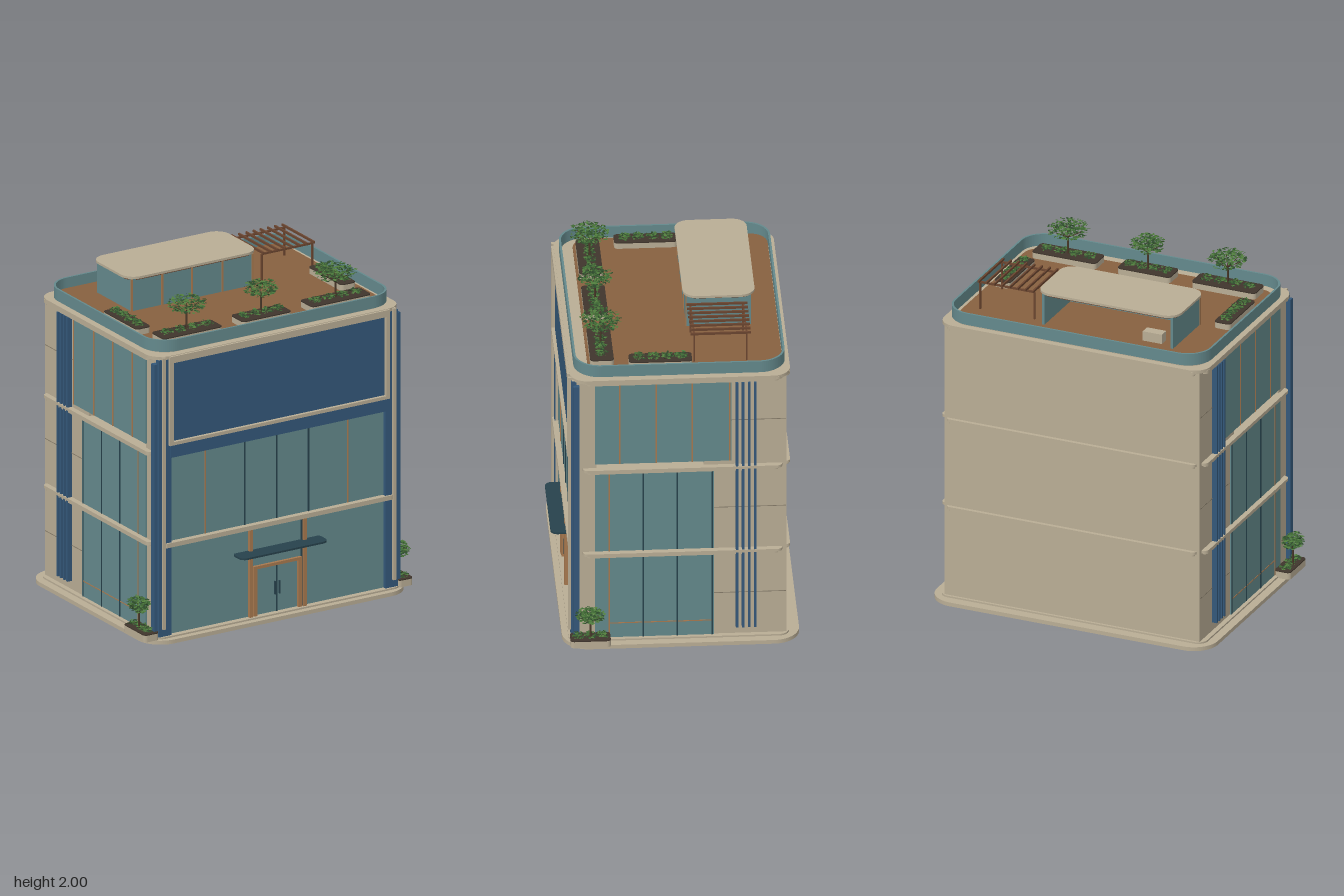
import * as THREE from 'three';
import { mergeGeometries } from 'three/addons/utils/BufferGeometryUtils.js';

const mat = (color, side = THREE.FrontSide) => new THREE.MeshStandardMaterial({ color, side });
const stone = mat(0xb9ad95), seam = mat(0x857b69), glass = mat(0x64898c), blue = mat(0x34587a);
const steel = mat(0x27424c), wood = mat(0xa8794f), deckMat = mat(0x87603f), slat = mat(0x6b452f);
const soil = mat(0x3f352c), bark = mat(0x4b3a2a);
const greens = [0x2c4a2a, 0x3d6632, 0x4f7c3c].map(c => mat(c, THREE.DoubleSide));

let seed = 7;
const rnd = () => (seed = (seed * 16807) % 2147483647) / 2147483647;

export function createModel() {
  const model = new THREE.Group();
  const group = (name) => {
    const g = new THREE.Group();
    g.name = name;
    model.add(g);
    return g;
  };
  const add = (parent, name, geo, m) => {
    const mesh = new THREE.Mesh(geo, m);
    mesh.name = name;
    parent.add(mesh);
    return mesh;
  };
  // Box given by its limits on each axis
  const box = (parent, name, m, x0, x1, y0, y1, z0, z1) =>
    add(parent, name, new THREE.BoxGeometry(Math.abs(x1 - x0), y1 - y0, z1 - z0), m)
      .position.set((x0 + x1) / 2, (y0 + y1) / 2, (z0 + z1) / 2);
  const outline = (path, x0, x1, z0, z1, r) => {
    const a = -z1, b = -z0;
    path.moveTo(x0 + r, a).lineTo(x1 - r, a).absarc(x1 - r, a + r, r, -Math.PI / 2, 0)
      .lineTo(x1, b - r).absarc(x1 - r, b - r, r, 0, Math.PI / 2)
      .lineTo(x0 + r, b).absarc(x0 + r, b - r, r, Math.PI / 2, Math.PI)
      .lineTo(x0, a + r).absarc(x0 + r, a + r, r, Math.PI, Math.PI * 1.5);
    return path;
  };
  // Flat slab with rounded corners in plan; wall > 0 leaves a hollow ring
  const slab = (parent, name, m, x0, x1, y0, y1, z0, z1, r, wall = 0) => {
    const s = outline(new THREE.Shape(), x0, x1, z0, z1, r);
    if (wall) s.holes.push(outline(new THREE.Path(), x0 + wall, x1 - wall, z0 + wall, z1 - wall, r - wall));
    const geo = new THREE.ExtrudeGeometry(s, { depth: y1 - y0, bevelEnabled: false, curveSegments: 10 });
    geo.rotateX(-Math.PI / 2).translate(0, y0, 0);
    return add(parent, name, geo, m);
  };

  // Plinth, back wall and floors
  const shell = group('buildingShell');
  slab(shell, 'plinth', stone, -0.88, 0.88, 0, 0.024, -0.7, 0.655, 0.15);
  slab(shell, 'plinthStep', stone, -0.83, 0.83, 0.024, 0.034, -0.64, 0.62, 0.06);
  box(shell, 'backWall', stone, -0.8, 0.8, 0.03, 1.72, -0.625, -0.6);
  for (const y of [0.57, 1.115]) box(shell, 'floorSlab', stone, -0.79, 0.79, y, y + 0.025, -0.6, 0.57);

  // Side elevations, mirrored
  for (const s of [1, -1]) {
    const side = group(s > 0 ? 'leftElevation' : 'rightElevation');
    box(side, 'rearWall', stone, s * 0.77, s * 0.8, 0.03, 1.72, -0.61, -0.15);
    box(side, 'cornerWall', stone, s * 0.72, s * 0.8, 0.03, 1.72, 0.46, 0.6);
    const floors = [
      [0.035, 0.57, -0.21, [0.39, 0.195, 0, -0.2]],
      [0.6, 1.11, -0.21, [0.39, 0.195, 0, -0.2]],
      [1.17, 1.695, -0.31, [0.33, 0.12, -0.085, -0.3]],
    ];
    floors.forEach(([y0, y1, z, mullions], i) => {
      box(side, 'sideGlass', glass, s * 0.79, s * 0.808, y0, y1, z, 0.47);
      mullions.forEach((m, k) => box(side, 'sideMullion', (i === 2 || k === 0) ? wood : steel,
        s * 0.805, s * 0.811, y0, y1, m - 0.004, m + 0.004));
      box(side, 'wallSeam', seam, s * 0.798, s * 0.802, [0.3, 0.86, 1.43][i], [0.304, 0.864, 1.434][i], -0.62, -0.2);
    });
    box(side, 'glassRail', wood, s * 0.805, s * 0.81, 0.125, 0.131, -0.2, 0.39);
    // Vertical blue fins
    for (let k = 0; k < 4; k++) {
      const z = -0.34 - k * 0.035;
      box(side, 'verticalFin', blue, s * 0.795, s * 0.83, 0.085, 1.69, z - 0.007, z + 0.007);
    }
    // Stepped floor ledges
    for (const y of [0.565, 1.113, 1.693]) {
      const lo = Math.min(s * 0.77, s * 0.826), hi = Math.max(s * 0.77, s * 0.826);
      slab(side, 'lowerLedge', stone, lo, hi, y, y + 0.014, -0.58, 0.52, 0.025);
      slab(side, 'upperLedge', stone, lo - 0.008, hi + 0.008, y + 0.014, y + 0.03, -0.6, 0.54, 0.03);
    }
    // Front corner pier with stone strip
    box(side, 'cornerPier', blue, s * 0.72, s * 0.805, 0.034, 1.715, 0.575, 0.607);
    box(side, 'cornerBlade', blue, s * 0.8, s * 0.828, 0.05, 1.69, 0.56, 0.595);
    box(side, 'pierStrip', stone, s * 0.765, s * 0.785, 0.08, 1.73, 0.6, 0.622);
  }

  // Ledges across the back
  for (const y of [0.565, 1.113, 1.693]) {
    slab(shell, 'backLedgeLower', stone, -0.77, 0.77, y, y + 0.014, -0.64, -0.6, 0.018);
    slab(shell, 'backLedgeUpper', stone, -0.78, 0.78, y + 0.014, y + 0.03, -0.647, -0.6, 0.02);
  }

  // Front elevation: glazed floors, blue panel and its frame
  const front = group('frontElevation');
  box(front, 'groundGlass', glass, -0.725, 0.725, 0.034, 0.57, 0.56, 0.585);
  box(front, 'middleGlass', glass, -0.725, 0.725, 0.598, 1.112, 0.56, 0.585);
  [-0.48, -0.215, 0, 0.215, 0.48].forEach((x, i) =>
    box(front, 'frontMullion', i % 4 ? steel : wood, x - 0.004, x + 0.004, 0.598, 1.112, 0.58, 0.59));
  slab(front, 'frontLedge', stone, -0.765, 0.765, 0.57, 0.597, 0.56, 0.618, 0.012);
  box(front, 'blueBand', blue, -0.725, 0.725, 1.112, 1.2, 0.56, 0.612);
  box(front, 'bluePanel', blue, -0.725, 0.725, 1.2, 1.715, 0.57, 0.605);
  box(front, 'frameBottom', stone, -0.74, 0.74, 1.19, 1.21, 0.59, 0.625);
  box(front, 'frameTop', stone, -0.74, 0.74, 1.69, 1.73, 0.59, 0.625);
  for (const s of [1, -1]) box(front, 'frameSide', stone, s * 0.715, s * 0.74, 1.21, 1.69, 0.59, 0.625);

  // Entrance with portal, doors and canopy
  const entrance = group('entrance');
  for (const s of [1, -1]) {
    box(entrance, 'outerPost', wood, s * 0.17, s * 0.192, 0.034, 0.57, 0.58, 0.607);
    box(entrance, 'postShadow', steel, s * 0.162, s * 0.17, 0.034, 0.57, 0.58, 0.595);
    box(entrance, 'doorPost', wood, s * 0.138, s * 0.162, 0.034, 0.335, 0.58, 0.603);
    box(entrance, 'doorHandle', steel, s * 0.012, s * 0.018, 0.14, 0.22, 0.59, 0.6);
  }
  box(entrance, 'lintel', wood, -0.162, 0.162, 0.318, 0.336, 0.58, 0.603);
  box(entrance, 'doorGap', steel, -0.003, 0.003, 0.034, 0.318, 0.58, 0.592);
  slab(entrance, 'canopy', steel, -0.295, 0.29, 0.425, 0.436, 0.57, 0.69, 0.04);

  // Roof: cornice, glass parapet and timber deck
  const roof = group('roof');
  slab(roof, 'cornice', stone, -0.835, 0.835, 1.713, 1.733, -0.648, 0.612, 0.1);
  slab(roof, 'parapetBase', stone, -0.79, 0.79, 1.733, 1.744, -0.61, 0.565, 0.13);
  slab(roof, 'deck', deckMat, -0.775, 0.77, 1.744, 1.752, -0.608, 0.505, 0.1);
  slab(roof, 'parapet', glass, -0.808, 0.808, 1.743, 1.814, -0.622, 0.585, 0.15, 0.012);

  // Rooftop pavilion, open to the rear
  const pavilion = group('pavilion');
  box(pavilion, 'pavilionFront', glass, -0.555, 0.265, 1.752, 1.945, -0.1, -0.085);
  for (const x of [-0.555, 0.25]) box(pavilion, 'pavilionSide', glass, x, x + 0.015, 1.752, 1.945, -0.455, -0.1);
  for (const x of [-0.555, -0.35, -0.15, 0.055, 0.258])
    box(pavilion, 'pavilionMullion', wood, x - 0.005, x + 0.007, 1.752, 1.945, -0.09, -0.08);
  box(pavilion, 'counter', stone, -0.47, -0.35, 1.752, 1.81, -0.42, -0.36);
  slab(pavilion, 'pavilionCeiling', slat, -0.57, 0.28, 1.938, 1.948, -0.465, -0.08, 0.07);
  slab(pavilion, 'pavilionRoof', stone, -0.585, 0.295, 1.948, 1.962, -0.478, -0.066, 0.085);

  // Pergola
  const pergola = group('pergola');
  for (let i = 0; i < 8; i++) {
    const x = 0.335 + i * 0.0486;
    box(pergola, 'pergolaSlat', slat, x - 0.005, x + 0.005, 1.925, 1.938, -0.43, -0.083);
  }
  for (const z of [-0.405, -0.105]) {
    box(pergola, 'pergolaBeam', slat, 0.335, 0.68, 1.915, 1.926, z - 0.005, z + 0.005);
    for (const x of [0.335, 0.675]) box(pergola, 'pergolaPost', slat, x - 0.005, x + 0.005, 1.752, 1.92, z - 0.005, z + 0.005);
  }

  // Cloud of small near-level leaves filling an ellipsoid
  const leaves = (parent, name, c, r, n, size) => greens.forEach(m => {
    const parts = [];
    for (let i = 0; i < n / 3; i++) {
      const leaf = new THREE.CircleGeometry(size * (0.7 + 0.6 * rnd()), 4);
      leaf.scale(1, 0.55, 1).rotateX(-Math.PI / 2 + (rnd() - 0.5) * 1.5).rotateY(rnd() * 6.28);
      const a = rnd() * 6.28, h = rnd() * 2 - 1, d = Math.cbrt(rnd()), w = Math.sqrt(1 - h * h) * d;
      parts.push(leaf.translate(c[0] + r[0] * w * Math.cos(a), c[1] + r[1] * h * d, c[2] + r[2] * w * Math.sin(a)));
    }
    add(parent, name, mergeGeometries(parts), m);
  });
  const limb = (parent, name, a, b, r) => add(parent, name,
    new THREE.TubeGeometry(new THREE.LineCurve3(new THREE.Vector3(...a), new THREE.Vector3(...b)), 1, r, 5), bark);
  const tree = (parent, x, y, z, h, rx, rz) => {
    const fork = [x, y + h * 0.5, z], ry = h * 0.24;
    limb(parent, 'trunk', [x, y, z], fork, 0.006);
    for (let i = 0; i < 6; i++) {
      const a = i * 1.047;
      limb(parent, 'branch', fork, [x + rx * 0.7 * Math.cos(a), y + h * 0.74, z + rz * 0.7 * Math.sin(a)], 0.0025);
    }
    leaves(parent, 'crown', [x, y + h - ry, z], [rx, ry, rz], 330, 0.013);
  };
  // Rounded trough with soil and low shrubs
  const planter = (name, x0, x1, y, z0, z1, h) => {
    const g = group(name), w = (x1 - x0) / 2, d = (z1 - z0) / 2;
    slab(g, 'trough', stone, x0, x1, y, y + h - 0.006, z0, z1, 0.022);
    slab(g, 'troughRim', soil, x0, x1, y + h - 0.006, y + h, z0, z1, 0.022);
    const n = Math.max(2, Math.round(Math.max(w, d) * 2 / 0.09));
    for (let i = 0; i < n; i++) {
      const t = ((i + 0.5) / n) * 2 - 1, along = w > d;
      leaves(g, 'shrub', [(x0 + x1) / 2 + (along ? t * w * 0.9 : 0), y + h + 0.012, (z0 + z1) / 2 + (along ? 0 : t * d * 0.9)],
        [0.036, 0.018, 0.036], 60, 0.011);
    }
    return g;
  };
  planter('sidePlanterRight', -0.745, -0.645, 1.752, -0.09, 0.27, 0.04);
  planter('sidePlanterLeft', 0.635, 0.735, 1.752, -0.09, 0.27, 0.04);
  [[-0.5, 0.2, 0.115], [0, 0.165, 0.1], [0.5, 0.2, 0.12]].forEach(([x, w, r]) =>
    tree(planter('roofPlanter', x - w, x + w, 1.752, 0.355, 0.49, 0.04), x, 1.79, 0.42, 0.205, r, r));
  for (const s of [1, -1])
    tree(planter('groundPlanter', s * 0.855 - 0.05, s * 0.855 + 0.05, 0.024, 0.385, 0.615, 0.046), s * 0.872, 0.07, 0.5, 0.195, 0.06, 0.085);

  return model;
}
